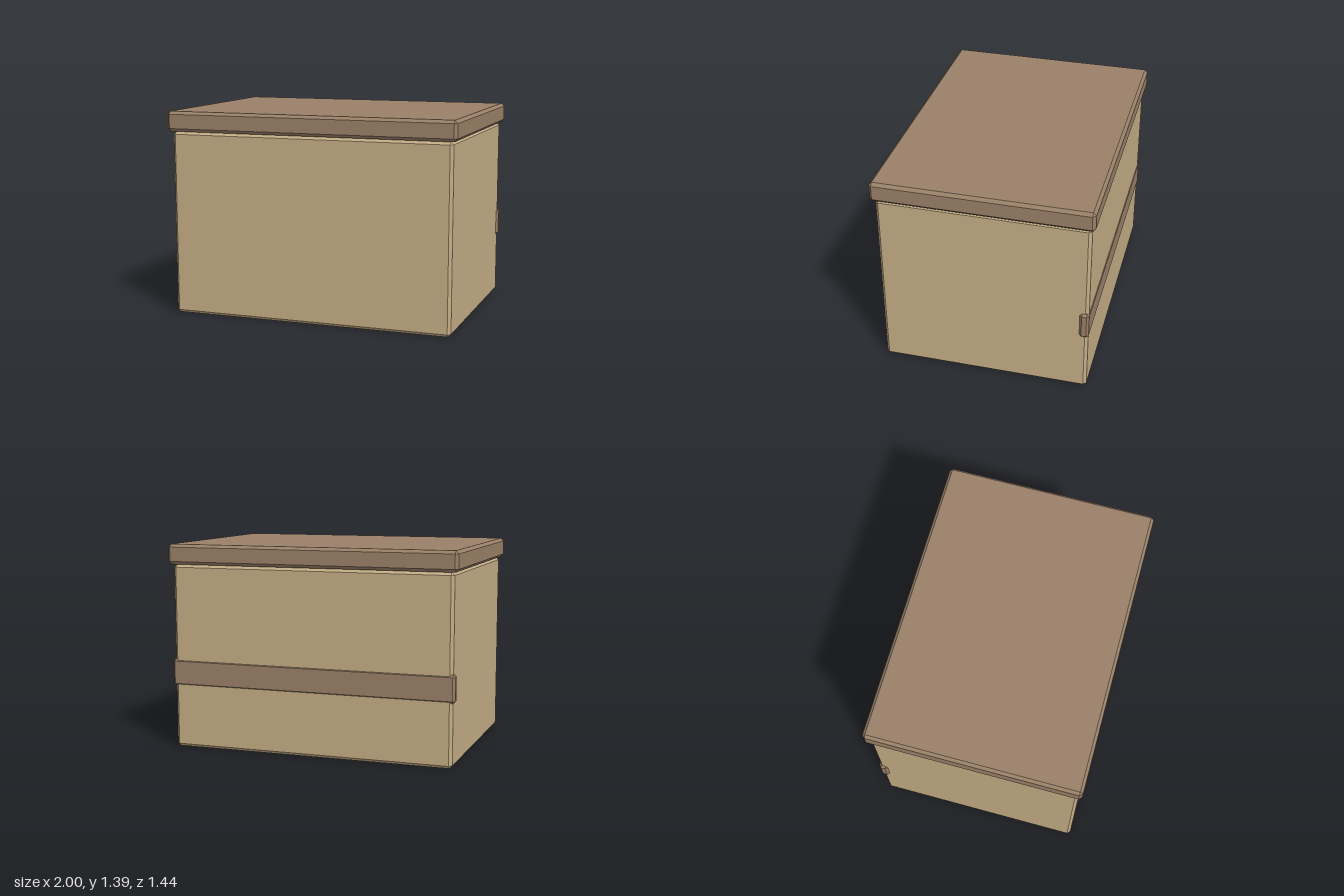
import * as THREE from 'three';
import { ConvexGeometry } from 'three/addons/geometries/ConvexGeometry.js';

const cardboard = new THREE.MeshStandardMaterial({ color: 0xc4ad85 });
const brown = new THREE.MeshStandardMaterial({ color: 0x9a8068 });

// Box with flat chamfered edges and corners, given by its min and max corners
function chamferBox(name, min, max, bevel, material) {
  const half = max.map((v, i) => (v - min[i]) / 2);
  const points = [];
  for (const sx of [-1, 1]) for (const sy of [-1, 1]) for (const sz of [-1, 1]) {
    const sign = [sx, sy, sz];
    // three points per corner, each lying on one of the meeting faces
    for (let face = 0; face < 3; face++) {
      points.push(new THREE.Vector3(...half.map((h, i) => sign[i] * (i === face ? h : h - bevel))));
    }
  }
  const mesh = new THREE.Mesh(new ConvexGeometry(points), material);
  mesh.name = name;
  mesh.position.set(...max.map((v, i) => (v + min[i]) / 2));
  return mesh;
}

export function createModel() {
  const group = new THREE.Group();
  group.name = 'liddedBox';
  group.add(
    chamferBox('body', [-0.97, 0, -0.695], [0.97, 1.254, 0.695], 0.02, cardboard),
    chamferBox('lid', [-1, 1.254, -0.72], [1, 1.39, 0.72], 0.02, brown),
    // band across the back, wrapping slightly around both sides
    chamferBox('backBand', [-0.985, 0.424, -0.7], [0.985, 0.608, -0.638], 0.015, brown),
  );
  return group;
}
